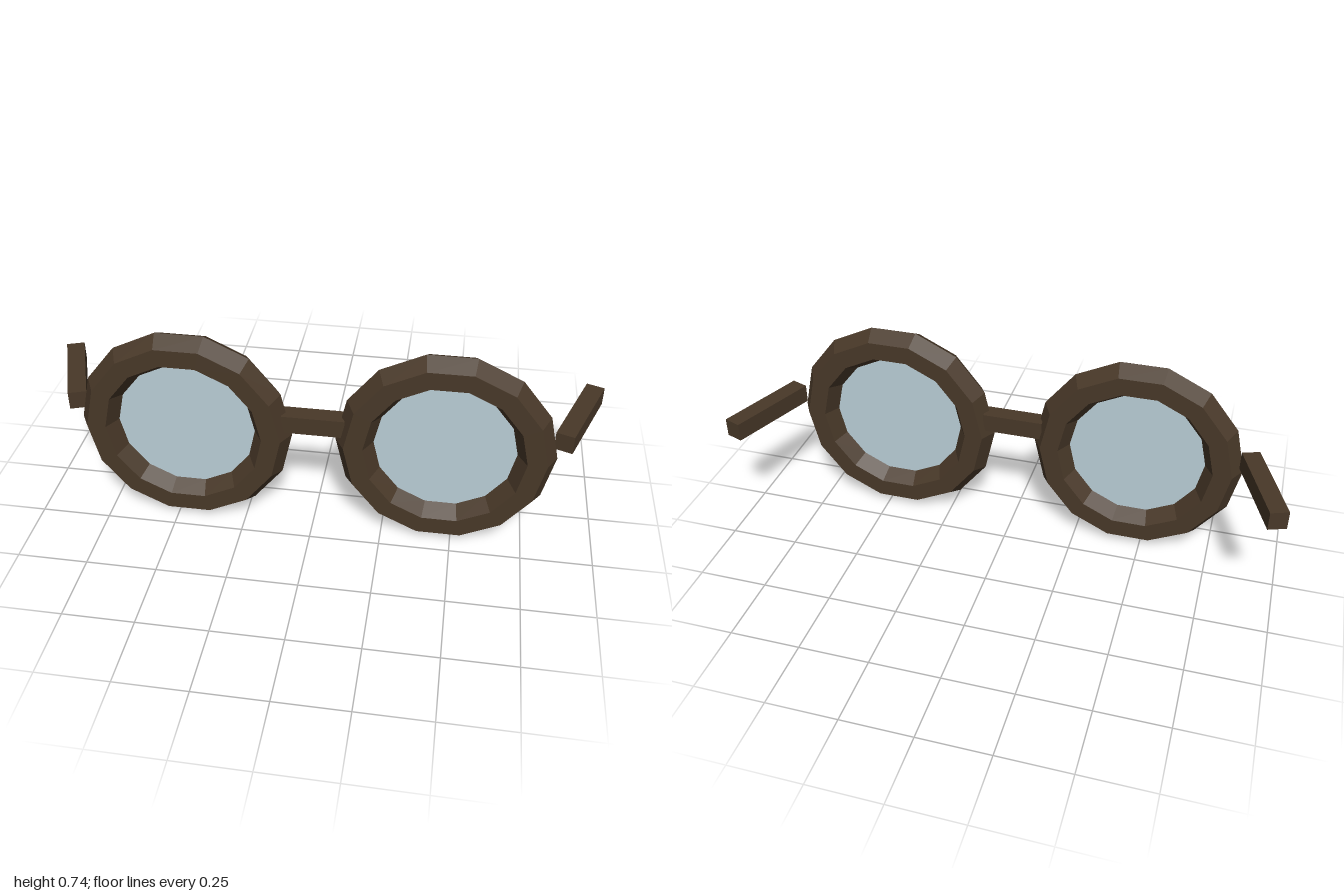
import * as THREE from 'three';

export function createModel() {
  const model = new THREE.Group();
  const frame = new THREE.MeshStandardMaterial({ color: 0x483828, flatShading: true });
  const glass = new THREE.MeshStandardMaterial({ color: 0xb9cdd6, side: THREE.DoubleSide });
  const SIDES = 14, FRONT_Z = 0.142, RIM_Y = 0.371, BAR_Y = 0.429, BAR = 0.067;

  const add = (name, geometry, material, x, y, z) => {
    const mesh = new THREE.Mesh(geometry, material);
    mesh.name = name;
    mesh.position.set(x, y, z);
    model.add(mesh);
    return mesh;
  };

  for (const [side, s] of [['left', 1], ['right', -1]]) {
    // Chunky rim with a hexagonal section
    add(side + 'Rim', new THREE.TorusGeometry(0.313, 0.0665, 6, SIDES), frame, s * 0.456, RIM_Y, FRONT_Z);

    // Flat lens in the middle of the rim
    add(side + 'Lens', new THREE.CircleGeometry(0.25, SIDES), glass, s * 0.456, RIM_Y, FRONT_Z);

    // Short temple arm splayed outward toward the back
    const arm = add(side + 'Temple', new THREE.BoxGeometry(BAR - 0.002, BAR, 0.341), frame, s * 0.911, BAR_Y, -0.0285);
    arm.rotation.y = -s * THREE.MathUtils.degToRad(20.3);
  }

  // Bridge joining the two rims
  add('bridge', new THREE.BoxGeometry(0.22, BAR, 0.064), frame, 0, BAR_Y, 0.138);

  return model;
}
